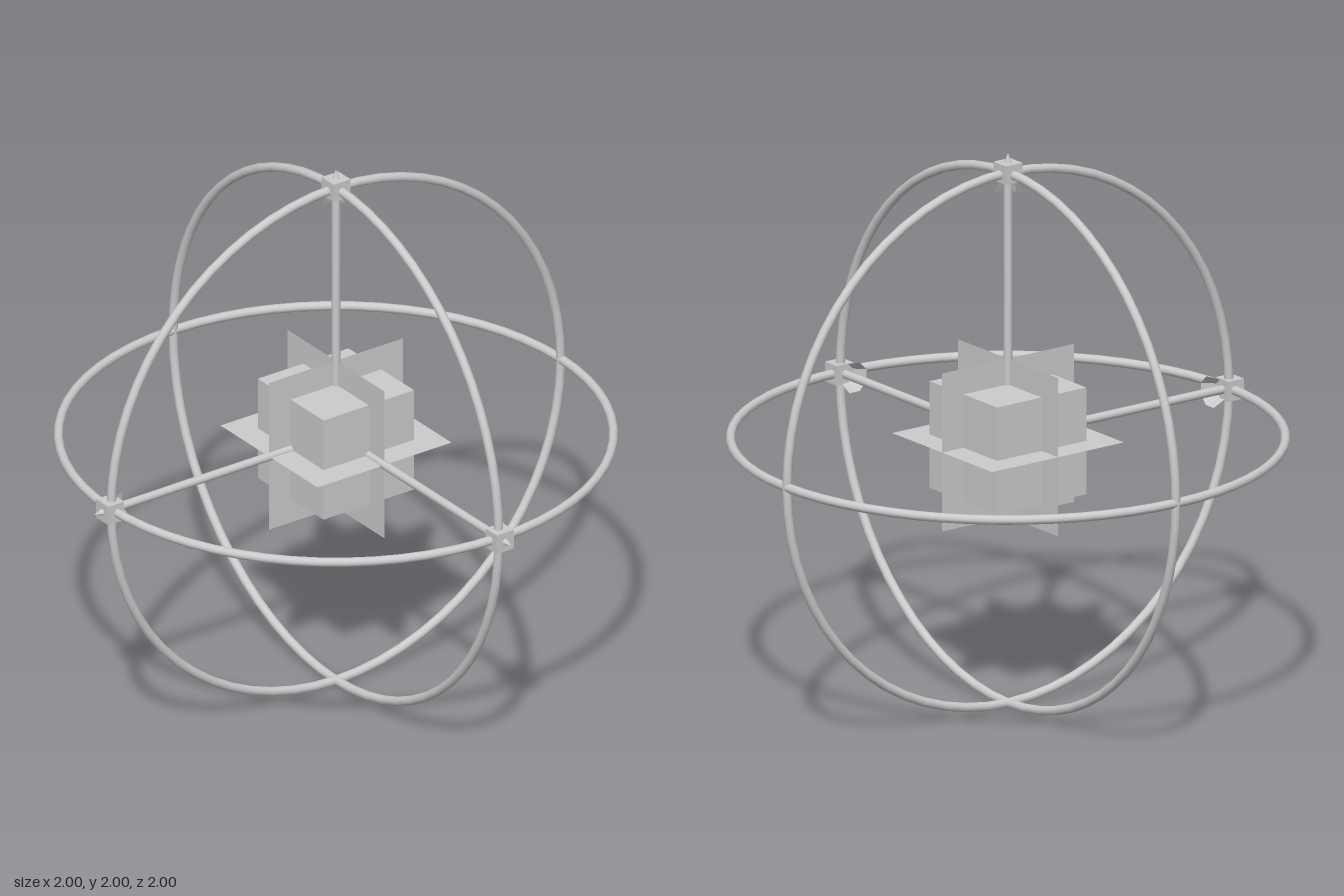
import * as THREE from 'three';

export function createModel() {
  const model = new THREE.Group();
  model.name = 'orbitGizmo';
  const smooth = new THREE.MeshStandardMaterial({ color: 0xcccccc });
  const flat = new THREE.MeshStandardMaterial({ color: 0xcccccc, flatShading: true });
  const sheet = new THREE.MeshStandardMaterial({ color: 0xcccccc, side: THREE.DoubleSide });
  const inner = new THREE.MeshStandardMaterial({ color: 0xcccccc, flatShading: true, side: THREE.BackSide });

  const add = (parent, name, geometry, material, y = 0) => {
    const mesh = new THREE.Mesh(geometry, material);
    mesh.name = name;
    mesh.position.y = y;
    parent.add(mesh);
    return mesh;
  };

  // Solid cube in the middle of the three crossing sheets
  add(model, 'centreCube', new THREE.BoxGeometry(0.385, 0.385, 0.385), flat);

  // One arm along +y, with its ring and sheet, turned onto each axis
  const axes = [
    ['up', new THREE.Vector3(0, 1, 0)],
    ['right', new THREE.Vector3(-1, 0, 0)],
    ['front', new THREE.Vector3(0, 0, 1)],
  ];
  const up = new THREE.Vector3(0, 1, 0);

  for (const [label, direction] of axes) {
    const arm = new THREE.Group();
    arm.name = label + 'Arm';
    arm.quaternion.setFromUnitVectors(up, direction);

    // Ring and square sheet lie across the arm
    add(arm, 'ring', new THREE.TorusGeometry(0.956, 0.0165, 10, 64), smooth).rotation.x = Math.PI / 2;
    add(arm, 'planeSheet', new THREE.PlaneGeometry(0.57, 0.57), sheet).rotation.x = -Math.PI / 2;

    // Rod running from the centre out to the handle
    add(arm, 'rod', new THREE.CylinderGeometry(0.0155, 0.0155, 0.95, 10), smooth, 0.475);

    // Handle: block, pointed tip and open flared skirt
    add(arm, 'handleBlock', new THREE.BoxGeometry(0.072, 0.067, 0.072), flat, 0.96);
    add(arm, 'handleTip', new THREE.ConeGeometry(0.0135, 0.036, 8), flat, 1.0095);
    add(arm, 'handleSkirt', new THREE.CylinderGeometry(0.034, 0.056, 0.058, 8, 1, true), inner, 0.902)
      .rotation.y = Math.PI / 8;
    model.add(arm);
  }

  model.position.set(0.0275, 0.9725, -0.0275);
  const root = new THREE.Group();
  root.name = 'model';
  root.add(model);
  return root;
}
